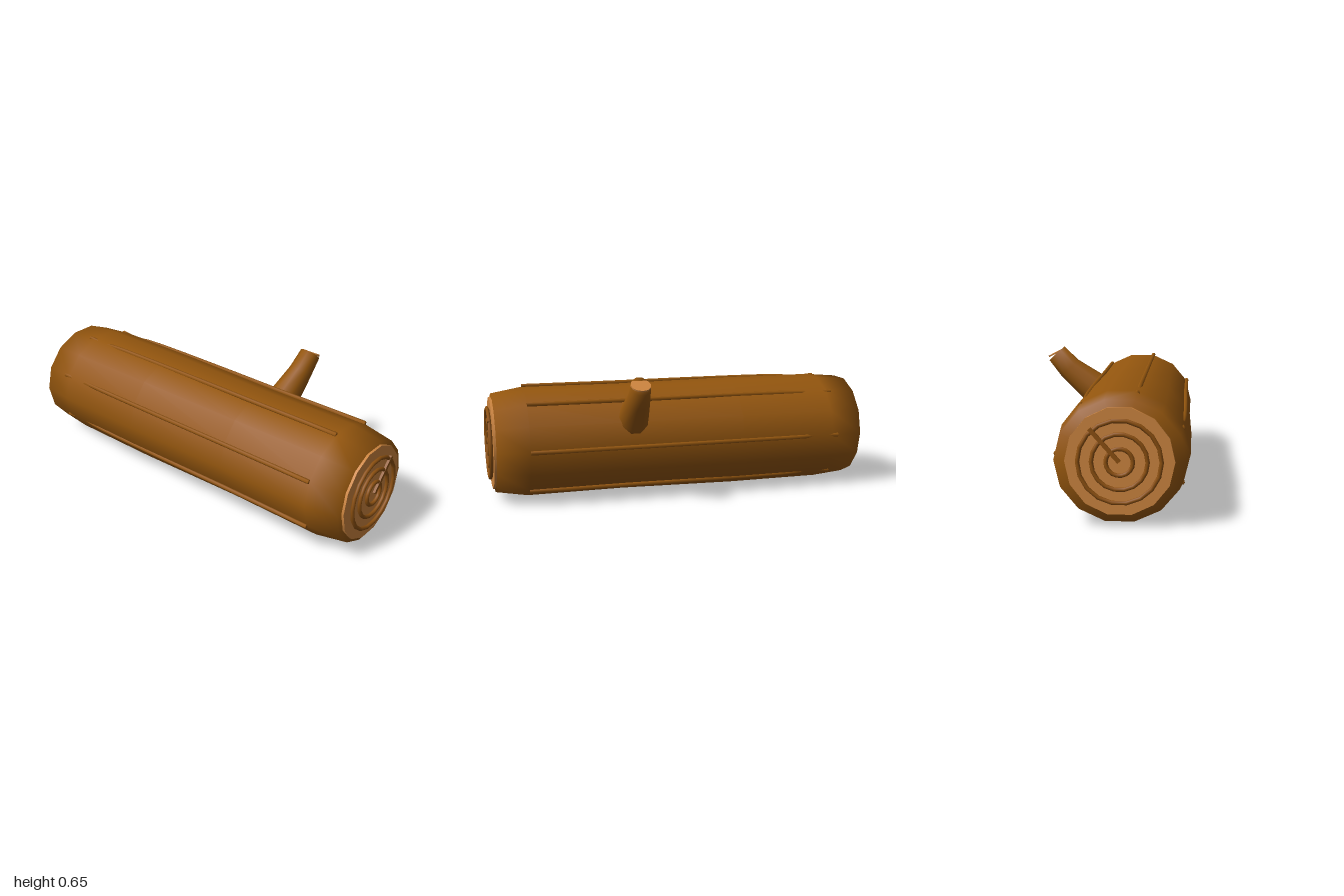
import * as THREE from 'three';

const CX = -0.1, CY = 0.285, SQUASH = 0.95;
const material = (name, color) => {
  const m = new THREE.MeshStandardMaterial({ color });
  m.name = name;
  return m;
};

// Smooth closed solid through cross-sections of { c: centre, u, v: half axes }, ordered along u x v
function loft(sections, sides) {
  const pos = [], index = [], n = sections.length;
  for (const { c, u, v } of sections) {
    for (let i = 0; i < sides; i++) {
      const a = (i / sides) * Math.PI * 2;
      pos.push(...c.clone().addScaledVector(u, Math.cos(a)).addScaledVector(v, Math.sin(a)).toArray());
    }
  }
  for (let s = 0; s < n - 1; s++) {
    for (let i = 0; i < sides; i++) {
      const j = (i + 1) % sides, a = s * sides, b = a + sides;
      index.push(a + i, a + j, b + j, a + i, b + j, b + i);
    }
  }
  const first = n * sides, last = first + 1, top = (n - 1) * sides;
  pos.push(...sections[0].c.toArray(), ...sections[n - 1].c.toArray());
  for (let i = 0; i < sides; i++) {
    const j = (i + 1) % sides;
    index.push(first, j, i, last, top + i, top + j);
  }
  const g = new THREE.BufferGeometry();
  g.setAttribute('position', new THREE.Float32BufferAttribute(pos, 3));
  g.setIndex(index);
  g.computeVertexNormals();
  return g;
}

export function createModel() {
  const model = new THREE.Group();
  model.name = 'log';
  const bark = material('bark brown', 0x94560e);
  const grain = material('grain brown', 0x8c5010);
  const wood = material('cut wood', 0xcd853f);
  const add = (name, geometry, mat, parent = model) => {
    const mesh = new THREE.Mesh(geometry, mat);
    mesh.name = name;
    parent.add(mesh);
    return mesh;
  };
  const V = (x, y, z) => new THREE.Vector3(x, y, z);

  // Trunk: slightly flattened, uneven, narrowed at both ends
  const profile = [[-0.967, 0.284], [-0.8, 0.3], [-0.3, 0.302], [0.3, 0.292], [0.8, 0.295], [0.96, 0.266]];
  add('trunk', loft(profile.map(([z, r]) => ({
    c: V(CX, CY, z), u: V(r, 0, 0), v: V(0, r * SQUASH, 0),
  })), 14), bark);

  // Bark ridges running along the trunk
  for (let k = 0; k < 7; k++) {
    const a = (k / 7) * Math.PI * 2;
    const path = new THREE.CatmullRomCurve3([[0.8, 0.299], [0.3, 0.298], [-0.1, 0.3], [-0.6, 0.297], [-0.73, 0.287], [-0.83, 0.294]]
      .map(([z, r]) => V(CX + r * Math.cos(a), CY + r * SQUASH * Math.sin(a), z)));
    add('barkRidge', loft(path.getPoints(14).reverse().map((c) => ({
      c, u: V(0.011, 0, 0), v: V(0, 0.011, 0),
    })), 6), bark);
  }

  // Cut ends: pale disc, growth rings and a radial crack
  for (const [side, z] of [[1, 0.972], [-1, -0.98]]) {
    const end = new THREE.Group();
    end.name = side > 0 ? 'frontEnd' : 'backEnd';
    end.position.set(CX, CY, z);
    const disc = new THREE.CylinderGeometry(0.236, 0.236, 0.03, 14);
    disc.rotateY(Math.PI / 2).rotateX(Math.PI / 2).translate(0, 0, -side * 0.015);
    add('cutFace', disc, wood, end);
    for (const r of [0.058, 0.12, 0.179]) {
      add('growthRing', new THREE.TorusGeometry(r, 0.0095, 8, 18), grain, end).position.z = side * 0.01;
    }
    const crack = add('crack', new THREE.BoxGeometry(0.19, 0.018, 0.012), grain, end);
    crack.position.set(0.064, 0.072, side * 0.014);
    crack.rotation.z = 0.84;
    model.add(end);
  }

  // Branch stub, bending upward
  const stations = [[0.04, 0.35, 0.27, 0.095, 0.7], [0.14, 0.428, 0.273, 0.088, 0.72], [0.28, 0.536, 0.28, 0.066, 0.79], [0.352, 0.615, 0.287, 0.058, 0.83]];
  add('branch', loft(stations.map(([x, y, z, r, tilt]) => ({
    c: V(x, y, z),
    u: V(0, 0, r * 0.88),
    v: V(r * Math.sin(tilt), -r * Math.cos(tilt), 0),
  })), 10), bark);

  // Pale cut at the branch tip
  const tip = add('branchCut', new THREE.CylinderGeometry(0.05, 0.05, 0.008, 12), wood);
  tip.position.set(0.354, 0.62, 0.287);
  tip.rotation.z = -0.47;

  return model;
}
